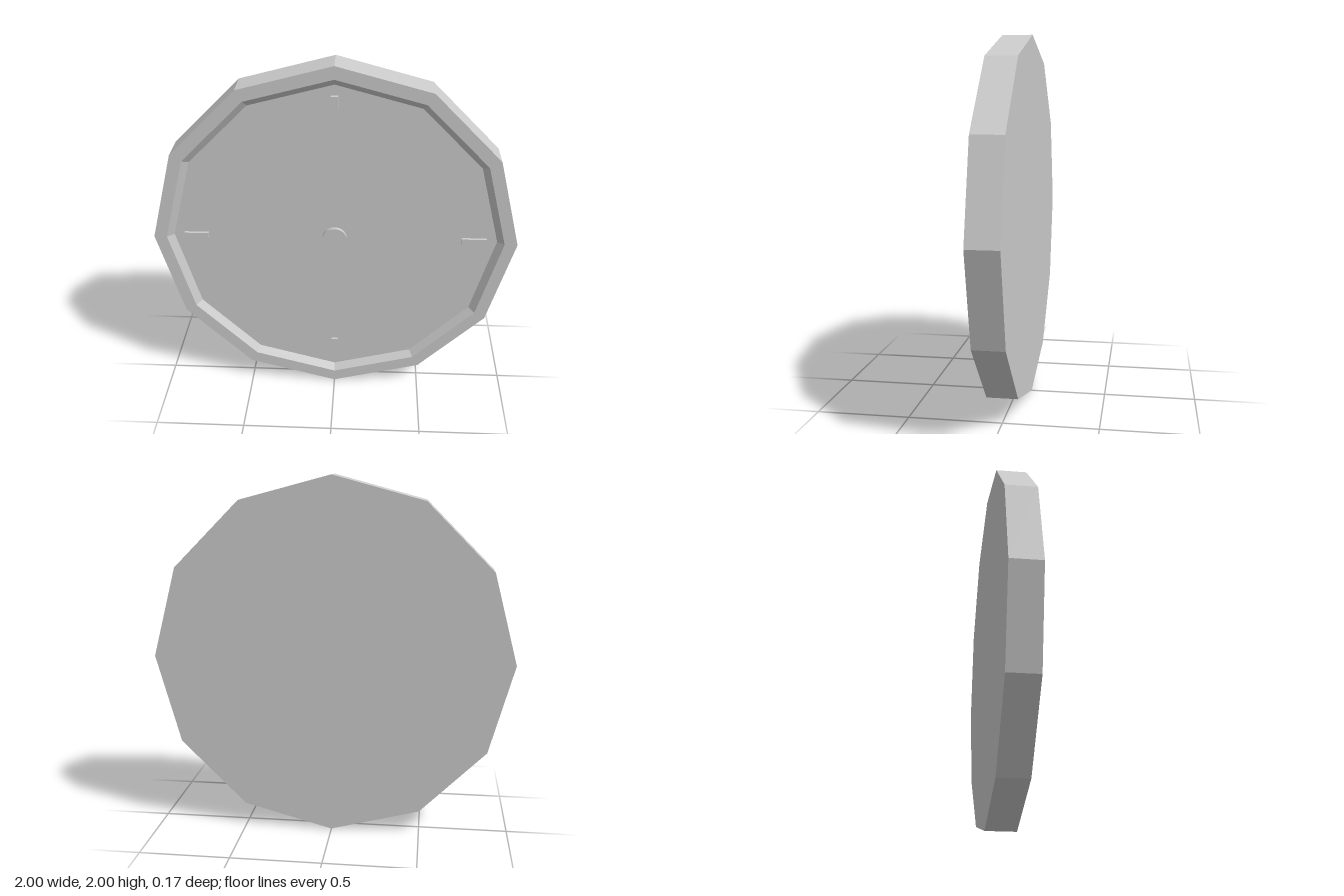
import * as THREE from 'three';

const HALF = 0.083;          // half the case depth
const FACE = HALF - 0.032;   // dial plane
const SIDES = 12;

export function createModel() {
  const clock = new THREE.Group();
  clock.name = 'wallClock';
  const flat = new THREE.MeshStandardMaterial({ color: 0xcccccc, flatShading: true });
  const smooth = new THREE.MeshStandardMaterial({ color: 0xcccccc });

  const add = (name, geometry, material, x, y, z) => {
    const mesh = new THREE.Mesh(geometry, material);
    mesh.name = name;
    mesh.position.set(x, y, z);
    clock.add(mesh);
    return mesh;
  };

  // Twelve-sided case: flat back, straight sides, front rim and bevelled recess
  const profile = [[0, -HALF], [1, -HALF], [1, HALF], [0.93, HALF], [0.893, FACE]]
    .map(([r, y]) => new THREE.Vector2(r, y));
  const caseGeometry = new THREE.LatheGeometry(profile, SIDES).toNonIndexed();
  caseGeometry.computeVertexNormals();
  caseGeometry.rotateX(Math.PI / 2);
  add('case', caseGeometry, flat, 0, 1, 0);

  // Dial filling the recess
  add('dial', new THREE.CircleGeometry(0.893, SIDES), flat, 0, 1, FACE);

  // Hour markers at the quarters
  for (let i = 0; i < 4; i++) {
    const a = i * Math.PI / 2;
    const marker = add('hourMarker', new THREE.BoxGeometry(0.135, 0.037, 0.016), flat,
      0.767 * Math.cos(a), 1 + 0.767 * Math.sin(a), FACE + 0.008);
    marker.rotation.z = a;
  }

  // Round centre cap
  const cap = new THREE.CylinderGeometry(0.067, 0.067, 0.02, 32).rotateX(Math.PI / 2);
  add('centreCap', cap, smooth, 0, 1, FACE + 0.01);

  return clock;
}
